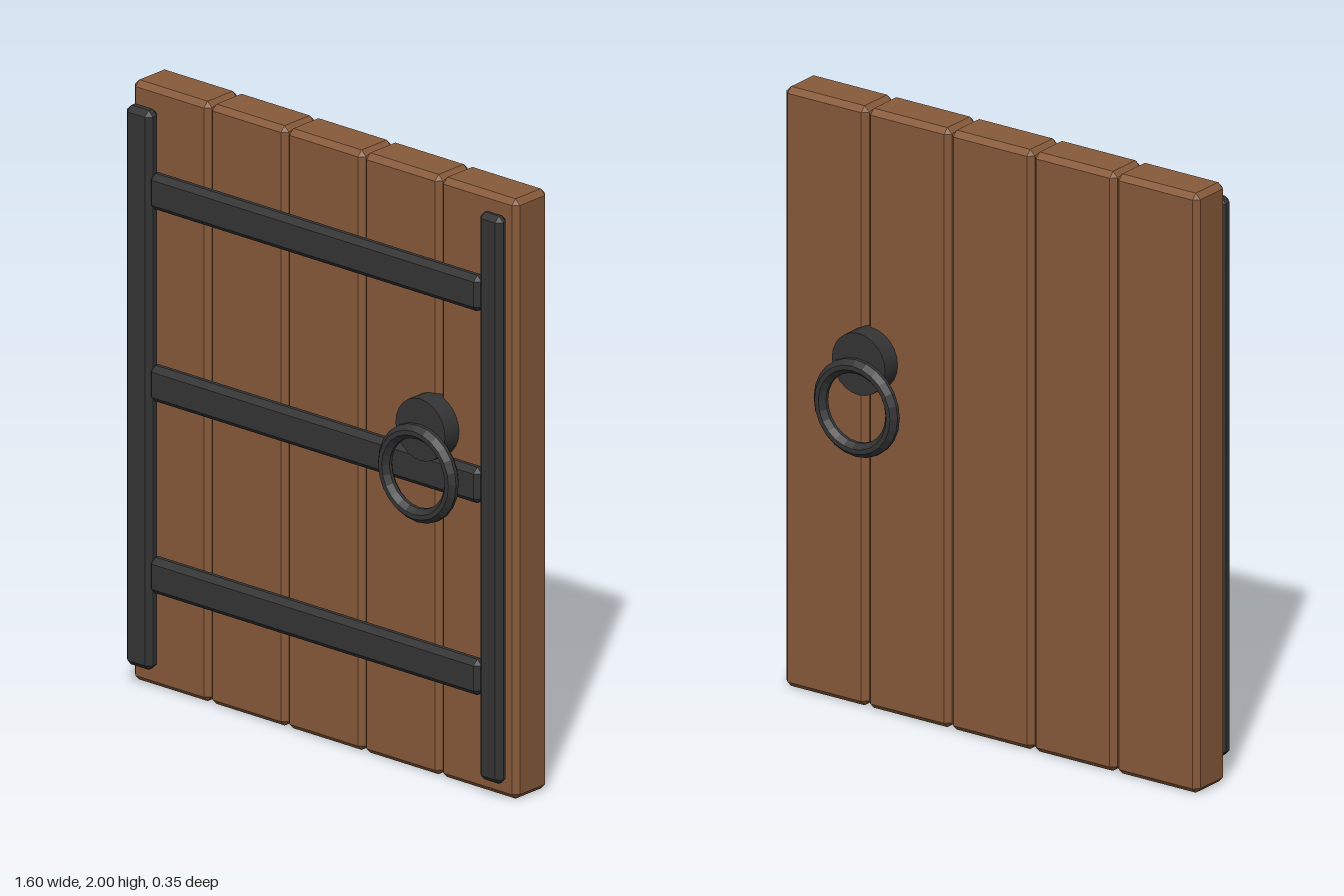
import * as THREE from 'three';
import { ConvexGeometry } from 'three/addons/geometries/ConvexGeometry.js';

// Box with flat chamfered edges and corners, given by its limits on each axis
function chamferBox([x0, x1], [y0, y1], [z0, z1], bevel) {
  const half = [(x1 - x0) / 2, (y1 - y0) / 2, (z1 - z0) / 2];
  const points = [];
  for (const sx of [-1, 1]) for (const sy of [-1, 1]) for (const sz of [-1, 1]) {
    for (let axis = 0; axis < 3; axis++) {
      const p = half.map((h, i) => (i === axis ? h : h - bevel));
      points.push(new THREE.Vector3(p[0] * sx, p[1] * sy, p[2] * sz));
    }
  }
  return new ConvexGeometry(points).translate((x0 + x1) / 2, (y0 + y1) / 2, (z0 + z1) / 2);
}

export function createModel() {
  const wood = new THREE.MeshStandardMaterial({ color: 0x875a3a });
  wood.name = 'wood';
  const iron = new THREE.MeshStandardMaterial({ color: 0x343434 });
  iron.name = 'darkIron';

  const door = new THREE.Group();
  door.name = 'door';
  const add = (name, geometry, material) => {
    const mesh = new THREE.Mesh(geometry, material);
    mesh.name = name;
    door.add(mesh);
    return mesh;
  };

  // Five upright planks
  const width = 0.32;
  for (let i = 0; i < 5; i++) {
    const x = -0.8 + i * width;
    add('plank' + (i + 1), chamferBox([x, x + width], [0, 2], [-0.077, 0.077], 0.018), wood);
  }

  // Iron frame on the front
  add('rightUpright', chamferBox([-0.785, -0.677], [0.07, 1.935], [0.077, 0.132], 0.018), iron);
  add('leftUpright', chamferBox([0.68, 0.775], [0.057, 1.95], [0.08, 0.127], 0.018), iron);
  [0.39, 1.03, 1.67].forEach((y, i) =>
    add('crossBar' + (i + 1), chamferBox([-0.69, 0.685], [y - 0.06, y + 0.06], [0.077, 0.127], 0.018), iron));

  // Handle boss running through the door
  const boss = add('handleBoss',
    new THREE.CylinderGeometry(0.103, 0.103, 0.286, 24).rotateX(Math.PI / 2), iron);
  boss.position.set(0.46, 1.172, 0);

  // Pull rings, front and back
  const section = [
    [0.115, -0.006], [0.131, -0.024], [0.146, -0.024], [0.162, -0.006],
    [0.162, 0.006], [0.146, 0.024], [0.131, 0.024], [0.115, 0.006], [0.115, -0.006],
  ].map(([r, z]) => new THREE.Vector2(r, z));
  const ringGeometry = new THREE.LatheGeometry(section, 24).rotateX(Math.PI / 2).toNonIndexed();
  ringGeometry.computeVertexNormals();
  for (const side of [1, -1]) {
    const ring = add(side > 0 ? 'frontRing' : 'backRing', ringGeometry, iron);
    ring.position.set(0.46, 1.03, side * 0.152);
  }

  return door;
}
